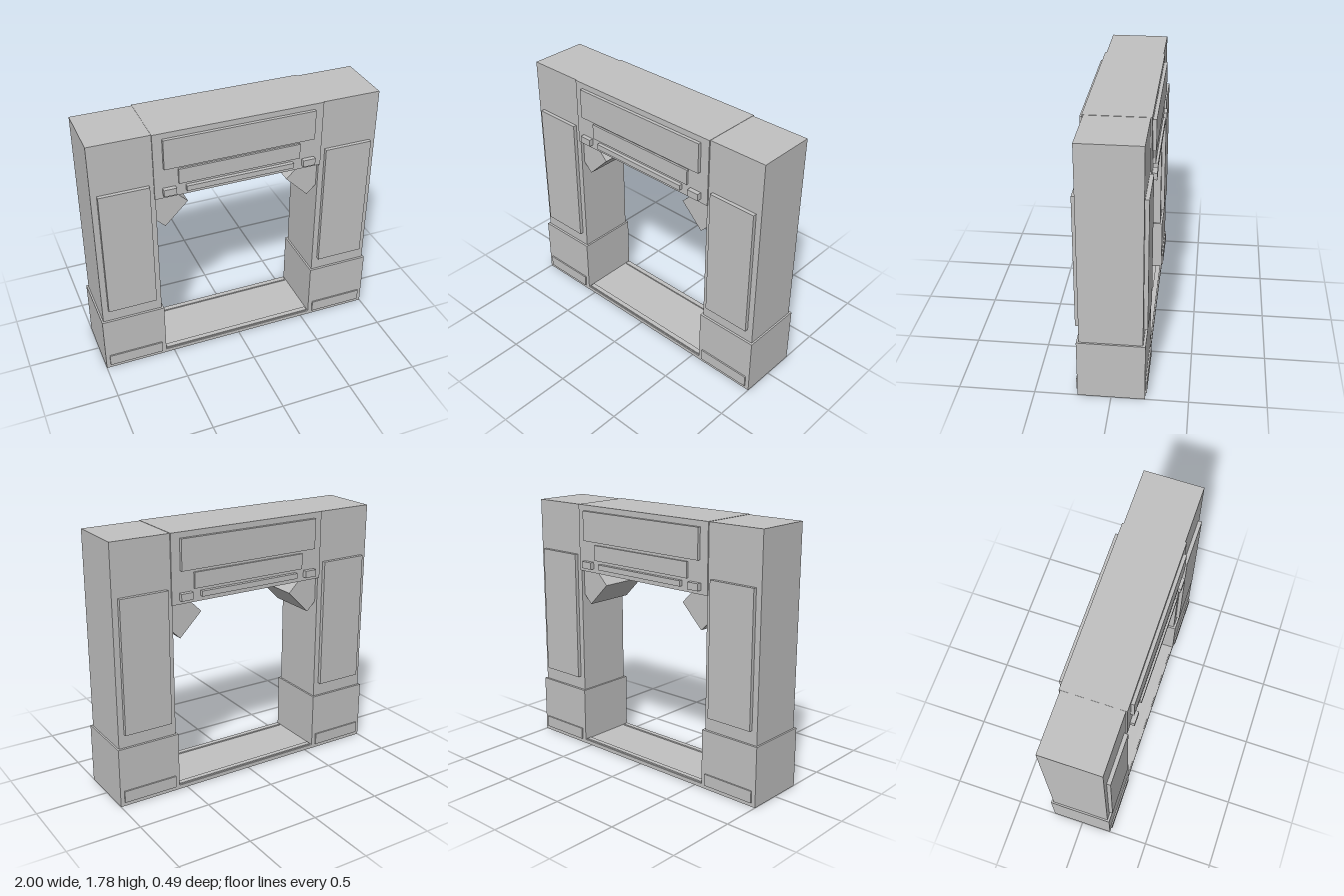
import * as THREE from 'three';

export function createModel() {
  const model = new THREE.Group();
  model.name = 'gateway';
  const stone = new THREE.MeshStandardMaterial({ color: 0xc0c0c0 });
  stone.name = 'plain grey';

  // Box given by its limits on each axis
  function block(name, x0, x1, y0, y1, z0, z1) {
    const mesh = new THREE.Mesh(new THREE.BoxGeometry(x1 - x0, y1 - y0, z1 - z0), stone);
    mesh.position.set((x0 + x1) / 2, (y0 + y1) / 2, (z0 + z1) / 2);
    mesh.name = name;
    model.add(mesh);
    return mesh;
  }

  // Raised plate on both the front and the back
  function plates(name, x0, x1, y0, y1, inner, outer) {
    block(name + 'Front', x0, x1, y0, y1, inner, outer);
    block(name + 'Back', x0, x1, y0, y1, -outer, -inner);
  }

  // Beam across the top, with its panels
  block('lintel', -0.58, 0.58, 1.315, 1.782, -0.212, 0.212);
  plates('signPanel', -0.517, 0.517, 1.535, 1.743, 0.205, 0.235);
  plates('lowerPanel', -0.42, 0.42, 1.406, 1.513, 0.205, 0.226);
  plates('lightBar', -0.372, 0.372, 1.348, 1.385, 0.205, 0.238);

  // Threshold with two raised rails
  block('threshold', -0.56, 0.56, 0, 0.028, -0.218, 0.218);
  plates('thresholdRail', -0.55, 0.55, 0.02, 0.037, 0.175, 0.21);

  for (const side of [-1, 1]) {
    const label = side > 0 ? 'left' : 'right';
    const span = (a, b) => (side > 0 ? [a, b] : [-b, -a]);

    // Pillar on a wider foot
    block(label + 'Foot', ...span(0.56, 1), 0, 0.415, -0.219, 0.219);
    block(label + 'Pillar', ...span(0.573, 0.988), 0.41, 1.78, -0.203, 0.203);
    plates(label + 'PillarPanel', ...span(0.612, 0.948), 0.51, 1.425, 0.198, 0.229);
    plates(label + 'FootPlaque', ...span(0.59, 0.972), 0.028, 0.11, 0.21, 0.229);
    plates(label + 'CornerLamp', ...span(0.441, 0.527), 1.342, 1.39, 0.205, 0.243);

    // Slanted block in the upper corner of the opening
    const brace = block(label + 'Brace', -0.1125, 0.1125, -0.15, 0.15, -0.18, 0.18);
    brace.position.set(side * 0.536, 1.2585, 0);
    brace.rotation.z = -side * Math.PI / 4;
  }
  return model;
}
